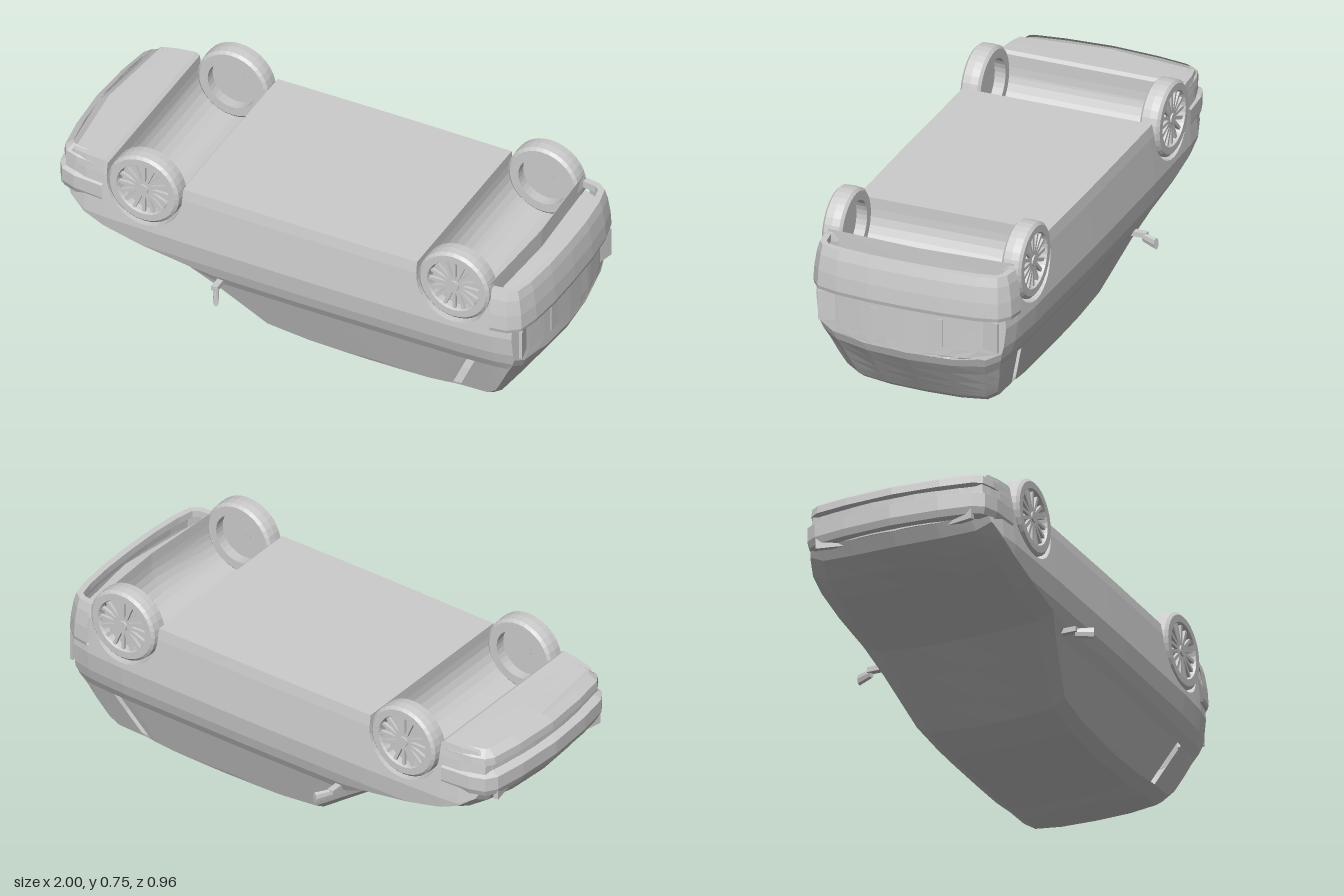
import * as THREE from 'three';

const flat = new THREE.MeshStandardMaterial({ color: 0xcccccc, flatShading: true, side: THREE.DoubleSide });
const smooth = new THREE.MeshStandardMaterial({ color: 0xcccccc, side: THREE.DoubleSide });

// Piecewise linear lookup in a list of [input, output] pairs
function lookup(pts, v) {
  if (v <= pts[0][0]) return pts[0][1];
  for (let i = 1; i < pts.length; i++) {
    const [a, p] = pts[i - 1], [b, q] = pts[i];
    if (v <= b) return p + (q - p) * (v - a) / (b - a);
  }
  return pts[pts.length - 1][1];
}

function mesh(name, geometry, material = flat) {
  const m = new THREE.Mesh(geometry, material);
  m.name = name;
  return m;
}

// Collects quads into one geometry
class Quads {
  constructor() { this.p = []; }
  add(a, b, c, d) { for (const v of [a, b, c, a, c, d]) this.p.push(...v); }
  geometry() {
    const g = new THREE.BufferGeometry();
    g.setAttribute('position', new THREE.Float32BufferAttribute(this.p, 3));
    g.computeVertexNormals();
    return g;
  }
}

// The car lies on its roof, its nose towards -x
const ROOF = [[-0.97, 0.46], [-0.94, 0.41], [-0.85, 0.365], [-0.75, 0.33], [-0.6, 0.293], [-0.4, 0.258],
  [-0.12, 0.035], [0.05, 0.012], [0.3, 0.002], [0.6, 0.008], [0.81, 0.025], [0.965, 0.235], [0.98, 0.27]];
const FLOOR = [[-0.97, 0.62], [-0.93, 0.652], [-0.76, 0.66], [-0.74, 0.645], [0.86, 0.645], [0.861, 0.57], [0.98, 0.55]];
const WIDTH = [[0, 0.14], [0.015, 0.255], [0.05, 0.292], [0.25, 0.363], [0.29, 0.385], [0.34, 0.4],
  [0.42, 0.41], [0.46, 0.406], [0.6, 0.392], [0.65, 0.383]];
const PLAN = [[-0.97, 0.88], [-0.9, 0.94], [-0.75, 0.97], [-0.4, 0.99], [0.1, 1], [0.7, 0.99], [0.9, 0.965], [0.98, 0.93]];
const LEVELS = [0.06, 0.11, 0.18, 0.25, 0.29, 0.34, 0.42, 0.46, 0.53, 0.6];
const WHEELS = [-0.587, 0.7], AXLE_Y = 0.6, ARCH = 0.158;
const SLIT = [0.74, 0.772];

function floorAt(x) {
  let y = lookup(FLOOR, x);
  for (const c of WHEELS) {
    const d = Math.abs(x - c);
    if (d <= ARCH + 1e-6) y = Math.min(y, AXLE_Y - Math.sqrt(Math.max(0, ARCH * ARCH - d * d)));
  }
  return y;
}

// Rounds the ends in plan and leans the rear pillar
function bend(x, y, z) {
  const end = THREE.MathUtils.smoothstep(Math.abs(x), 0.78, 0.97);
  const lean = lookup([[0.45, 0], [SLIT[0], 0.1], [SLIT[1], 0.1], [0.82, 0]], x);
  const k = THREE.MathUtils.clamp((0.26 - y) / 0.2, 0, 1);
  return [x - Math.sign(x) * end * 0.045 * (z / 0.37) ** 2 - lean * k, y, z];
}

// Half section from the roof centre line down the side to the floor edge
function halfSection(x) {
  const t = lookup(ROOF, x), u = floorAt(x), plan = lookup(PLAN, x);
  const e = Math.min(t + 0.045, u);
  const w = y => lookup(WIDTH, y) * plan;
  const pts = [[t, 0], [t + 0.003, 0.48 * w(e)], [t + 0.015, 0.84 * w(e)], [e, w(e)]];
  for (const l of LEVELS) {
    const y = THREE.MathUtils.clamp(l, e, u);
    pts.push([y, w(y)]);
  }
  pts.push([u, w(u)], [u, 0]);
  return pts;
}

function buildBody(car) {
  const xs = [...SLIT, -0.3, -0.2, -0.04, 0.18, 0.42, 0.89, 0.93];
  for (const list of [ROOF, FLOOR]) xs.push(...list.map(p => p[0]));
  for (const c of WHEELS) {
    xs.push(c - ARCH - 0.001, c + ARCH + 0.001);
    for (let i = 0; i <= 16; i++) xs.push(c + ARCH * Math.cos(i * Math.PI / 16));
  }
  xs.sort((a, b) => a - b);
  const shell = new Quads(), cabin = new Quads();
  for (let i = 1; i < xs.length; i++) {
    const [x0, x1] = [xs[i - 1], xs[i]];
    if (x1 - x0 < 1e-5) continue;
    const a = halfSection(x0), b = halfSection(x1);
    const inSlit = x0 >= SLIT[0] - 1e-6 && x1 <= SLIT[1] + 1e-6;
    for (let j = 1; j < a.length; j++) {
      const y = (a[j - 1][0] + a[j][0]) / 2;
      if (inSlit && y > 0.055 && y < 0.25) continue;
      for (const s of [1, -1]) {
        const q = [bend(x0, a[j - 1][0], s * a[j - 1][1]), bend(x1, b[j - 1][0], s * b[j - 1][1]),
          bend(x1, b[j][0], s * b[j][1]), bend(x0, a[j][0], s * a[j][1])];
        if (s < 0) q.reverse();
        (y < 0.25 ? cabin : shell).add(...q);
      }
    }
  }
  // Nose and tail panels
  for (const x of [xs[0], xs[xs.length - 1]]) {
    const h = halfSection(x);
    for (let j = 1; j < h.length - 1; j++) for (let k = -4; k < 4; k++) {
      const at = (n, f) => bend(x, h[n][0], h[n][1] * f / 4);
      const q = [at(j - 1, k), at(j - 1, k + 1), at(j, k + 1), at(j, k)];
      if (x > 0) q.reverse();
      shell.add(...q);
    }
  }
  car.add(mesh('bodyShell', shell.geometry()), mesh('cabin', cabin.geometry()));
}

// Sweeps a section of [inset, y] points round a half plan of [x, z] points
function bumper(name, half, section) {
  const path = [...half, ...half.slice(0, -1).reverse().map(([x, z]) => [x, -z])];
  const sx = Math.sign(half[0][0]);
  const rings = path.map(([x, z], i) => {
    const p = path[Math.max(0, i - 1)], n = path[Math.min(path.length - 1, i + 1)];
    const len = Math.hypot(n[0] - p[0], n[1] - p[1]);
    const nx = sx * Math.abs(n[1] - p[1]) / len, nz = Math.sign(z) * Math.abs(n[0] - p[0]) / len;
    return section.map(([d, y]) => [x - nx * d, y, z - nz * d]);
  });
  const q = new Quads();
  for (let i = 1; i < rings.length; i++) for (let j = 1; j < section.length; j++)
    q.add(rings[i - 1][j - 1], rings[i][j - 1], rings[i][j], rings[i - 1][j]);
  return mesh(name, q.geometry());
}

// Wheel with a hollow tyre, thin spokes and a hub, facing +z
function buildWheel() {
  const wheel = new THREE.Group();
  wheel.name = 'wheel';
  const profile = [[0.1, -0.04], [0.135, -0.04], [0.146, -0.03], [0.148, 0], [0.146, 0.03], [0.135, 0.04],
    [0.108, 0.04], [0.104, 0.03], [0.1, -0.04]].map(p => new THREE.Vector2(...p));
  const tyre = mesh('tyre', new THREE.LatheGeometry(profile, 32), flat);
  tyre.rotation.x = Math.PI / 2;
  const back = mesh('rimBack', new THREE.CircleGeometry(0.104, 32));
  back.position.z = 0.004;
  const hub = mesh('hub', new THREE.CylinderGeometry(0.02, 0.026, 0.035, 16), smooth);
  hub.rotation.x = Math.PI / 2;
  hub.position.z = 0.02;
  wheel.add(tyre, back, hub);
  for (let i = 0; i < 16; i++) {
    const spoke = mesh('spoke', new THREE.BoxGeometry(0.085, 0.013, 0.012).translate(0.062, 0, 0.026));
    spoke.rotation.z = i * Math.PI / 8;
    wheel.add(spoke);
  }
  return wheel;
}

export function createModel() {
  const car = new THREE.Group();
  car.name = 'overturnedHatchback';
  buildBody(car);

  car.add(bumper('frontBumper',
    [[-0.76, 0.393], [-0.88, 0.383], [-0.94, 0.362], [-0.968, 0.32], [-0.988, 0.19], [-1, 0]],
    [[0.05, 0.46], [0.01, 0.475], [0, 0.5], [0, 0.555], [0.03, 0.57], [0.03, 0.592], [0.015, 0.602], [0.018, 0.632], [0.05, 0.656]]));
  car.add(bumper('rearBumper',
    [[0.855, 0.408], [0.92, 0.398], [0.965, 0.362], [0.985, 0.28], [0.997, 0.15], [1, 0]],
    [[0.04, 0.465], [0.004, 0.455], [0, 0.47], [0.004, 0.53], [0.014, 0.592], [0.025, 0.628], [0.05, 0.628], [0.05, 0.6]]));

  // Number plate panel on the tail
  const plate = mesh('rearPlate', new THREE.BoxGeometry(0.012, 0.11, 0.29));
  plate.position.set(0.971, 0.375, 0);
  car.add(plate);

  for (const s of [1, -1]) {
    for (const x of WHEELS) {
      const wheel = buildWheel();
      wheel.position.set(x, AXLE_Y, s * 0.36);
      if (s < 0) wheel.rotation.y = Math.PI;
      car.add(wheel);
    }
    // Lamps at the corners
    const tail = mesh('tailLamp', new THREE.BoxGeometry(0.012, 0.12, 0.1));
    tail.position.set(0.948, 0.39, s * 0.312);
    tail.rotation.y = s * 0.23;
    const head = mesh('headLamp', new THREE.BoxGeometry(0.02, 0.045, 0.12));
    head.position.set(-0.945, 0.475, s * 0.26);
    head.rotation.y = -s * 0.2;
    car.add(tail, head);
    // Door mirror
    const mirror = new THREE.Group();
    mirror.name = 'doorMirror';
    const stalk = mesh('mirrorStalk', new THREE.BoxGeometry(0.025, 0.02, 0.07));
    stalk.position.set(-0.277, 0.268, 0.39);
    const housing = mesh('mirrorHousing', new THREE.CylinderGeometry(0.024, 0.019, 0.07, 8).scale(0.5, 1, 1));
    housing.geometry.rotateX(Math.PI / 2);
    housing.position.set(-0.258, 0.257, 0.445);
    housing.rotation.y = 0.45;
    mirror.add(stalk, housing);
    mirror.scale.z = s;
    car.add(mirror);
  }
  return car;
}
